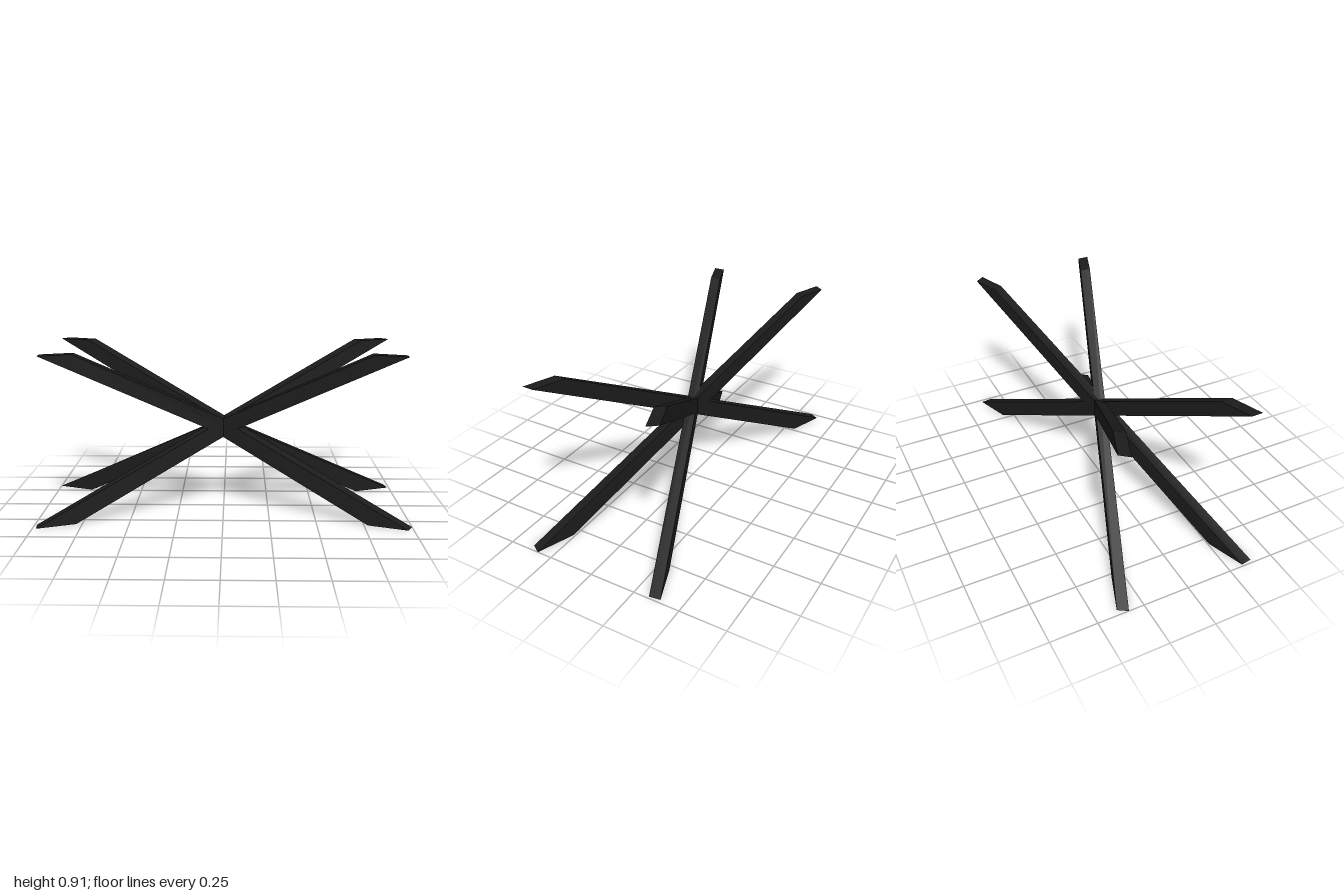
import * as THREE from 'three';

const HEIGHT = 0.91;
const HALF_WIDTH = 0.029;

// A slanted bar with level end cuts: foot on the ground at +x, tip at -x, slightly tapering upward.
function barGeometry(tipSkew) {
  const geometry = new THREE.BoxGeometry(2, 2, 2);
  const p = geometry.attributes.position;
  for (let i = 0; i < p.count; i++) {
    const u = p.getX(i), v = p.getZ(i);
    const atTip = p.getY(i) > 0;
    const along = atTip
      ? -0.904 + 0.086 * u - tipSkew * v
      : 0.942 + 0.106 * u - 0.006 * v;
    p.setXYZ(i, along, atTip ? HEIGHT : 0, HALF_WIDTH * v);
  }
  geometry.computeVertexNormals();
  return geometry;
}

export function createModel() {
  const model = new THREE.Group();
  model.name = 'crossedBarBase';
  const black = new THREE.MeshStandardMaterial({ color: 0x1c1c1c });
  black.name = 'black';

  // Four bars crossing at the middle, giving eight arms
  const bars = [
    ['frontRightFootBar', 200],
    ['frontLeftFootBar', -20],
    ['backLeftFootBar', 20],
    ['backRightFootBar', 160],
  ];
  for (const [name, degrees] of bars) {
    const angle = THREE.MathUtils.degToRad(degrees);
    const bar = new THREE.Mesh(barGeometry(0.01 * Math.sign(Math.cos(angle))), black);
    bar.name = name;
    bar.rotation.y = angle;
    model.add(bar);
  }
  return model;
}
